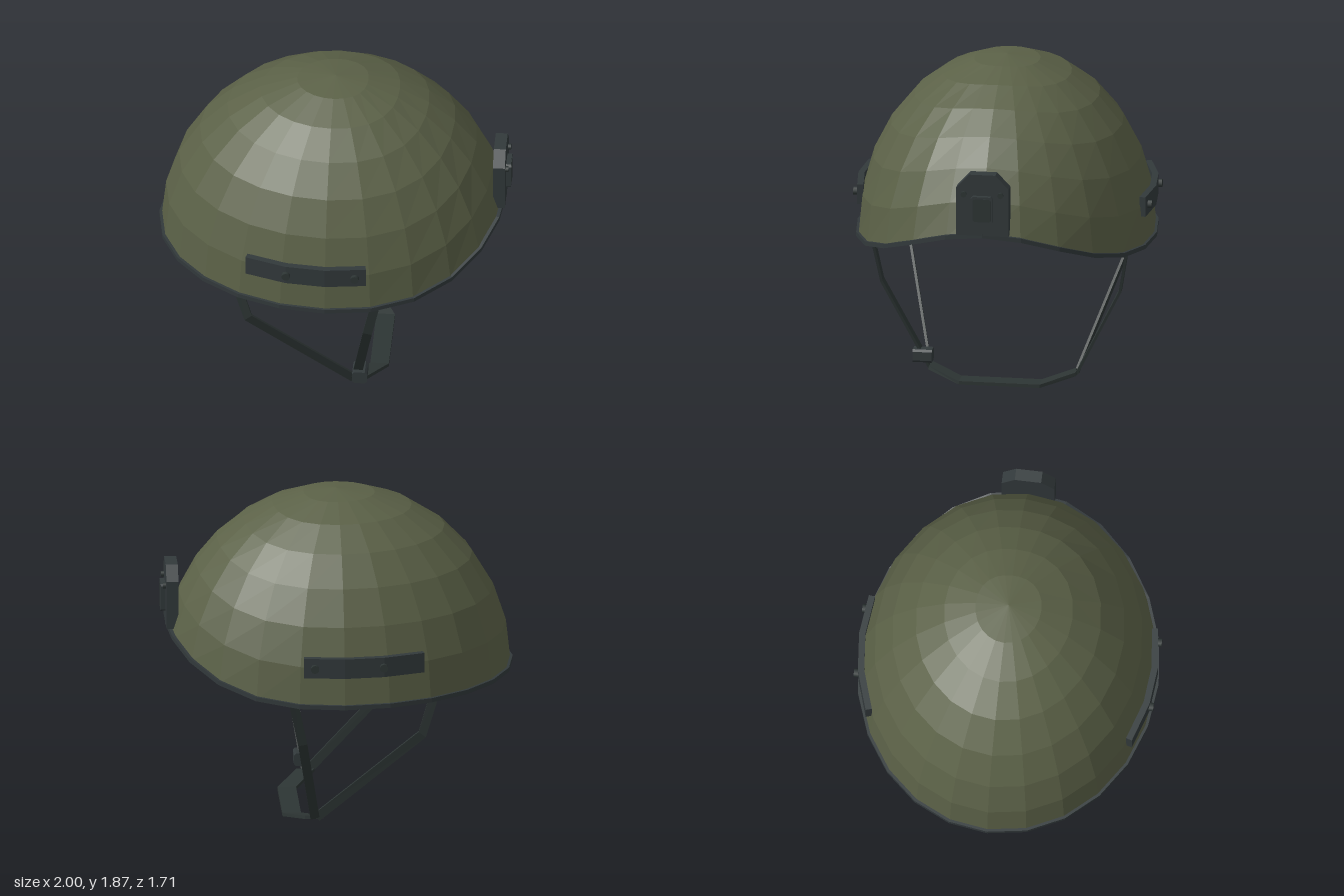
import * as THREE from 'three';

const V = (x, y, z) => new THREE.Vector3(x, y, z);
const olive = new THREE.MeshStandardMaterial({ color: 0x5b6147 });
const charcoal = new THREE.MeshStandardMaterial({ color: 0x32393b });
const webbing = new THREE.MeshStandardMaterial({ color: 0x2d3534 });
olive.name = 'olive shell';
charcoal.name = 'charcoal fittings';
webbing.name = 'dark webbing';

// Facets a solid from equal-sized cross-sections; turned outward by its signed volume
function loft(sections, { loop = false, caps = false } = {}) {
  const tris = [];
  const n = sections[0].length;
  const last = loop ? sections.length : sections.length - 1;
  for (let i = 0; i < last; i++) {
    const p = sections[i], q = sections[(i + 1) % sections.length];
    for (let j = 0; j < n; j++) {
      const k = (j + 1) % n;
      tris.push([p[j], q[j], q[k]], [p[j], q[k], p[k]]);
    }
  }
  if (caps) {
    const s = sections[0], e = sections[sections.length - 1];
    for (let j = 1; j < n - 1; j++) tris.push([s[0], s[j], s[j + 1]], [e[0], e[j + 1], e[j]]);
  }
  let volume = 0;
  for (const [a, b, c] of tris) volume += a.dot(b.clone().cross(c));
  if (volume < 0) tris.forEach((t) => t.reverse());
  const geo = new THREE.BufferGeometry().setFromPoints(tris.flat());
  geo.computeVertexNormals();
  return geo;
}

// Flat band along a path; across(tangent) gives its width direction
function ribbon(points, width, thick, across) {
  const sections = points.map((p, i) => {
    const t = points[Math.min(i + 1, points.length - 1)].clone()
      .sub(points[Math.max(i - 1, 0)]).normalize();
    const w = across(t).normalize();
    const d = w.clone().cross(t).normalize().multiplyScalar(thick / 2);
    w.multiplyScalar(width / 2);
    return [[1, 1], [1, -1], [-1, -1], [-1, 1]].map(([a, b]) =>
      p.clone().addScaledVector(w, a).addScaledVector(d, b));
  });
  return loft(sections, { caps: true });
}

// Shell shape: an ellipsoid cap whose lower edge arches up over the brow
const SEG = 24, RINGS = 7, BASE = 0.845;
function shellPoint(j, t, inset = 0) {
  const th = (j / SEG) * Math.PI * 2;
  const arch = Math.max(0, Math.cos(th)) ** 3.3;
  const phi = (Math.PI / 2 - 0.249 * arch) * t;
  const r = Math.sin(phi);
  return V((0.985 - inset) * r * Math.cos(th),
    BASE + (1.035 - inset * t ** 0) * Math.cos(phi) + (inset ? inset * Math.cos(phi) * t ** 6 : 0),
    (0.84 - inset) * r * Math.sin(th));
}
const ring = (t, inset) => Array.from({ length: SEG }, (_, j) => shellPoint(j, t, inset));

export function createModel() {
  const model = new THREE.Group();
  model.name = 'helmet';
  const add = (name, geo, mat, parent = model) => {
    const mesh = new THREE.Mesh(geo, mat);
    mesh.name = name;
    parent.add(mesh);
    return mesh;
  };

  // Double-walled shell: outside downwards, then inside back up
  const rings = [];
  for (let i = 0; i <= RINGS; i++) rings.push(ring(i / RINGS, 0));
  for (let i = RINGS; i >= 0; i--) rings.push(ring(i / RINGS, 0.035));
  add('shell', loft(rings), olive);

  // Edge trim wrapped around the rim
  const trim = Array.from({ length: SEG }, (_, j) => {
    const p = shellPoint(j, 1);
    const out = V(p.x / 0.985 ** 2, 0, p.z / 0.84 ** 2).normalize();
    return [[0.014, 0.017], [0.014, -0.008], [-0.042, -0.008], [-0.042, 0.017]].map(([o, y]) =>
      p.clone().addScaledVector(out, o).add(V(0, y, 0)));
  });
  add('edgeTrim', loft(trim, { loop: true }), charcoal);

  // Side rails with bolts, and chin harness sides
  for (const s of [1, -1]) {
    const side = s > 0 ? 'left' : 'right';
    const rail = [[-0.45, 0.74], [-0.22, 0.812], [0, 0.832], [0.23, 0.805]]
      .map(([x, z]) => V(x, 1.08, s * z));
    add(side + 'Rail', ribbon(rail, 0.115, 0.036, () => V(0, 1, 0)), charcoal);
    for (const [x, z] of [[-0.22, 0.835], [0.17, 0.835]]) {
      const bolt = add(side + 'RailBolt',
        new THREE.CylinderGeometry(0.024, 0.024, 0.034, 10).toNonIndexed(), webbing);
      bolt.rotation.x = Math.PI / 2;
      bolt.position.set(x, 1.08, s * z);
    }

    const straps = {
      FrontStrap: [[0.3, 0.92, 0.74], [0.23, 0.58, 0.68], [0.145, 0.055, 0.42]],
      RearStrap: [[-0.54, 0.91, 0.61], [-0.45, 0.61, 0.622], [0.135, 0.06, 0.42]],
    };
    for (const [name, pts] of Object.entries(straps)) {
      add(side + name, ribbon(pts.map(([x, y, z]) => V(x, y, s * z)), 0.052, 0.015,
        (t) => V(-t.y, t.x, 0)), webbing);
    }
  }

  // Chin strap passing under the jaw
  const chin = [[0.15, 0.06, 0.42], [0.265, 0.016, 0.23], [0.265, 0.016, -0.23], [0.15, 0.06, -0.42]];
  add('chinStrap', ribbon(chin.map((p) => V(...p)), 0.105, 0.02, () => V(1, 0, 0)), webbing);

  // Chin buckle on the left
  const bevelled = (w, h, d, bevel) => {
    const sh = new THREE.Shape();
    const a = w / 2, b = h / 2, c = bevel;
    [[-a + c, -b], [a - c, -b], [a, -b + c], [a, b - c], [a - c, b], [-a + c, b], [-a, b - c], [-a, -b + c]]
      .forEach(([x, y], i) => (i ? sh.lineTo(x, y) : sh.moveTo(x, y)));
    return new THREE.ExtrudeGeometry(sh, { depth: d, bevelEnabled: false }).translate(0, 0, -d / 2);
  };
  add('buckle', bevelled(0.084, 0.075, 0.11, 0.012), charcoal).position.set(0.172, 0.128, 0.455);

  // Front mount: chamfered plate, raised pad and bolts, turned to face +x
  const mount = new THREE.Group();
  mount.name = 'frontMount';
  mount.rotation.y = Math.PI / 2;
  model.add(mount);
  const plate = new THREE.Shape([[-0.15, 1.105], [0.15, 1.105], [0.15, 1.385], [0.075, 1.465],
    [-0.075, 1.465], [-0.15, 1.385]].map(([x, y]) => new THREE.Vector2(x, y)));
  add('mountPlate', new THREE.ExtrudeGeometry(plate, { depth: 0.068, bevelEnabled: false }),
    charcoal, mount).position.z = 0.9;
  add('mountPad', bevelled(0.125, 0.16, 0.03, 0.012), charcoal, mount).position.set(0, 1.262, 0.98);
  add('mountPadInset', bevelled(0.1, 0.135, 0.006, 0.008), webbing, mount).position.set(0, 1.262, 0.994);
  for (const x of [-0.105, 0.105]) {
    const bolt = add('mountBolt',
      new THREE.CylinderGeometry(0.017, 0.017, 0.03, 8).toNonIndexed(), webbing, mount);
    bolt.rotation.x = Math.PI / 2;
    bolt.position.set(x, 1.35, 0.97);
  }
  return model;
}
